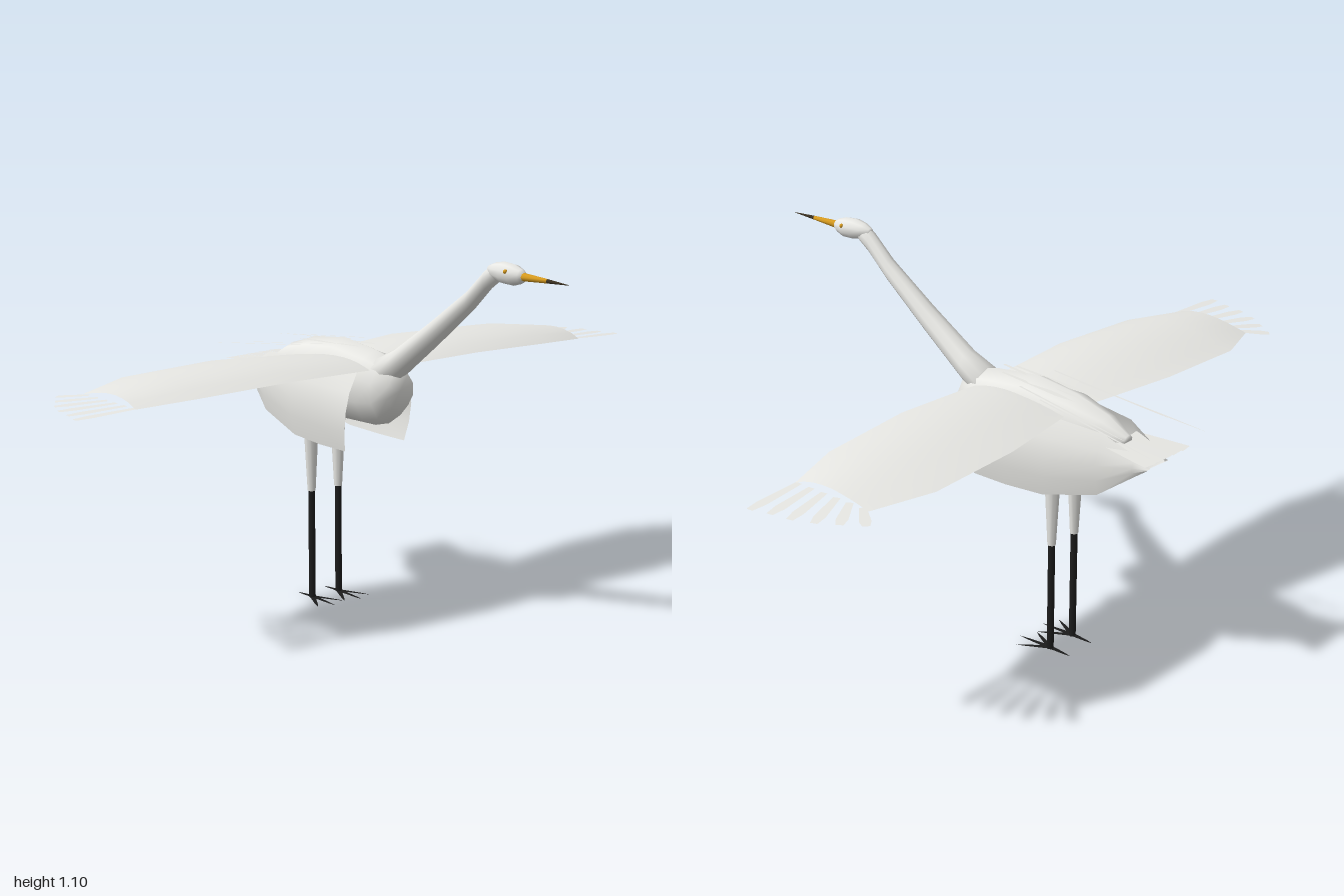
import * as THREE from 'three';

const mat = (name, color, side = THREE.FrontSide) => {
  const m = new THREE.MeshStandardMaterial({ color, side });
  m.name = name;
  return m;
};

function build(points, index) {
  const g = new THREE.BufferGeometry();
  g.setAttribute('position', new THREE.Float32BufferAttribute(points.flat(), 3));
  g.setIndex(index);
  g.computeVertexNormals();
  return g;
}

// Closed skin over elliptical rings [z, y, rx, ry], listed with z increasing
function loft(rings, n = 10) {
  const pts = [], idx = [];
  for (const [z, y, rx, ry] of rings)
    for (let j = 0; j < n; j++) {
      const a = (j / n) * Math.PI * 2 + Math.PI / 2;
      pts.push([rx * Math.cos(a), y + ry * Math.sin(a), z]);
    }
  for (let i = 0; i < rings.length - 1; i++)
    for (let j = 0; j < n; j++) {
      const a = i * n + j, b = i * n + (j + 1) % n;
      idx.push(a, b, a + n, b, b + n, a + n);
    }
  const last = rings.length - 1, base = pts.length;
  pts.push([0, rings[0][1], rings[0][0]], [0, rings[last][1], rings[last][0]]);
  for (let j = 0; j < n; j++) {
    const k = (j + 1) % n;
    idx.push(base, k, j, base + 1, last * n + j, last * n + k);
  }
  return build(pts, idx);
}

// Open surface through equal-length rows of points
function sheet(rows) {
  const m = rows[0].length, idx = [];
  for (let i = 0; i < rows.length - 1; i++)
    for (let j = 0; j < m - 1; j++) {
      const a = i * m + j;
      idx.push(a, a + 1, a + m, a + 1, a + m + 1, a + m);
    }
  return build(rows.flat(), idx);
}

// Flat blade between two points, with a half width at root, middle and tip
function blade(from, to, w0, w1, w2) {
  const a = new THREE.Vector3(...from), b = new THREE.Vector3(...to);
  const side = new THREE.Vector3().subVectors(b, a).cross(new THREE.Vector3(0, 1, 0)).normalize();
  const row = (t, w) => {
    const p = a.clone().lerp(b, t);
    return [-w, w].map(s => p.clone().addScaledVector(side, s).toArray());
  };
  return sheet([row(0, w0), row(0.75, w1), row(1, w2)]);
}

export function createModel() {
  const white = mat('white plumage', 0xf2f2ee);
  const feather = mat('white feathers', 0xf2f2ee, THREE.DoubleSide);
  const black = mat('black legs', 0x1c1c1c, THREE.DoubleSide);
  const gold = mat('golden bill', 0xd69a1e);
  const dark = mat('dark bill tip', 0x3a3020);

  const model = new THREE.Group();
  model.name = 'wadingBird';
  const add = (parent, name, geometry, material) => {
    const mesh = new THREE.Mesh(geometry, material);
    mesh.name = name;
    parent.add(mesh);
    return mesh;
  };

  // Body, neck and head
  add(model, 'body', loft([
    [-0.54, 0.695, 0.018, 0.015], [-0.47, 0.69, 0.05, 0.06], [-0.36, 0.683, 0.078, 0.1],
    [-0.22, 0.68, 0.085, 0.12], [-0.08, 0.673, 0.083, 0.11], [-0.02, 0.673, 0.072, 0.095],
    [0.03, 0.68, 0.05, 0.055],
  ]), white);
  add(model, 'neck', loft([
    [-0.04, 0.725, 0.055, 0.05], [0.03, 0.762, 0.044, 0.045], [0.18, 0.868, 0.034, 0.038],
    [0.33, 0.98, 0.026, 0.031], [0.4, 1.045, 0.023, 0.031], [0.44, 1.068, 0.02, 0.026],
  ]), white);
  add(model, 'head', loft([
    [0.405, 1.073, 0.012, 0.012], [0.43, 1.072, 0.024, 0.023], [0.465, 1.071, 0.031, 0.03],
    [0.5, 1.069, 0.03, 0.029], [0.53, 1.068, 0.018, 0.02], [0.54, 1.068, 0.012, 0.013],
  ]), white);
  add(model, 'bill', loft([[0.53, 1.068, 0.013, 0.012], [0.63, 1.068, 0.006, 0.006]], 8), gold);
  add(model, 'billTip', loft([[0.63, 1.068, 0.006, 0.006], [0.71, 1.067, 0.0006, 0.0006]], 8), dark);

  // Tail fan of flat feathers
  const tail = new THREE.Group();
  tail.name = 'tail';
  model.add(tail);
  for (let i = -2; i <= 2; i++)
    add(tail, 'tailFeather', blade([i * 0.028, 0.692, -0.515], [i * 0.04, 0.686 + 0.001 * i, -0.675],
      0.014, 0.019, 0.02), feather);

  // Loose plumes along the middle of the back
  for (const [x0, z0, x1, z1] of [[0, -0.1, 0.01, -0.42], [0.03, -0.12, 0.035, -0.38], [-0.03, -0.12, -0.03, -0.4]])
    add(model, 'backPlume', blade([x0, 0.8 - Math.abs(x0) * 0.3, z0], [x1, 0.775, z1], 0.004, 0.009, 0.0005), feather);

  // Each side is built on +x and mirrored
  for (const s of [1, -1]) {
    const half = new THREE.Group();
    half.name = s > 0 ? 'leftSide' : 'rightSide';
    half.scale.x = s;
    model.add(half);

    const eye = add(half, 'eye', new THREE.SphereGeometry(0.006, 10, 8), gold);
    eye.position.set(0.027, 1.08, 0.495);

    // Spread wing: [x, front z, back z, edge y, camber]
    const stations = [
      [0.04, -0.04, -0.36, 0.735, 0.02], [0.1, -0.035, -0.375, 0.737, 0.025], [0.34, -0.025, -0.42, 0.742, 0.033],
      [0.64, -0.042, -0.42, 0.732, 0.033], [0.815, -0.09, -0.35, 0.718, 0.024],
    ];
    add(half, 'wing', sheet(stations.map(([x, zf, zb, y, c]) =>
      Array.from({ length: 9 }, (_, k) => {
        const t = k / 8;
        return [x, y + c * Math.sin(Math.PI * Math.pow(t, 0.8)), zf + (zb - zf) * t];
      }).reverse())), feather);

    // Separated feathers at the wing tip: [root z, tip x, tip z]
    for (const [z0, x1, z1] of [[-0.1, 0.995, -0.108], [-0.145, 0.98, -0.165], [-0.19, 0.97, -0.225],
      [-0.235, 0.945, -0.285], [-0.28, 0.91, -0.34], [-0.325, 0.872, -0.395]])
      add(half, 'tipFeather', blade([0.81, 0.719, z0], [x1, 0.712, z1], 0.01, 0.016, 0.01), feather);

    // Hanging flank panel: columns of [z, y] from top to bottom, with a side taper
    const columns = [
      [-0.06, 0.73, -0.085, 0.5, 1], [-0.2, 0.735, -0.2, 0.5, 1], [-0.34, 0.735, -0.33, 0.506, 0.94],
      [-0.5, 0.725, -0.5, 0.55, 0.74], [-0.6, 0.68, -0.6, 0.622, 0.5], [-0.64, 0.652, -0.64, 0.65, 0.38],
    ];
    add(half, 'flankPanel', sheet(columns.map(([zt, yt, zb, yb, w]) =>
      [0.085, 0.112, 0.122, 0.12, 0.11].map((x, k) => {
        const t = k / 4;
        return [x * w, yt + (yb - yt) * t, zt + (zb - zt) * t * t];
      }))), feather);

    // Long trailing plumes beside the back
    for (const [a, b] of [[[0.085, 0.775, -0.3], [0.12, 0.73, -0.705]], [[0.075, 0.79, -0.22], [0.1, 0.745, -0.6]]])
      add(half, 'trailingPlume', blade(a, b, 0.003, 0.003, 0.0004), feather);

    // Leg and flat toes
    const leg = new THREE.Group();
    leg.name = 'leg';
    leg.position.set(0.05, 0, -0.32);
    half.add(leg);
    add(leg, 'thigh', new THREE.CylinderGeometry(0.026, 0.012, 0.27, 8), white).position.y = 0.465;
    add(leg, 'shin', new THREE.CylinderGeometry(0.01, 0.01, 0.338, 8), black).position.y = 0.171;
    for (const [angle, length] of [[0, 0.11], [0.5, 0.1], [-0.5, 0.1], [Math.PI, 0.07]])
      add(leg, 'toe', blade([0, 0.004, 0], [Math.sin(angle) * length, 0.001, Math.cos(angle) * length],
        0.009, 0.004, 0.0005), black);
  }
  return model;
}
